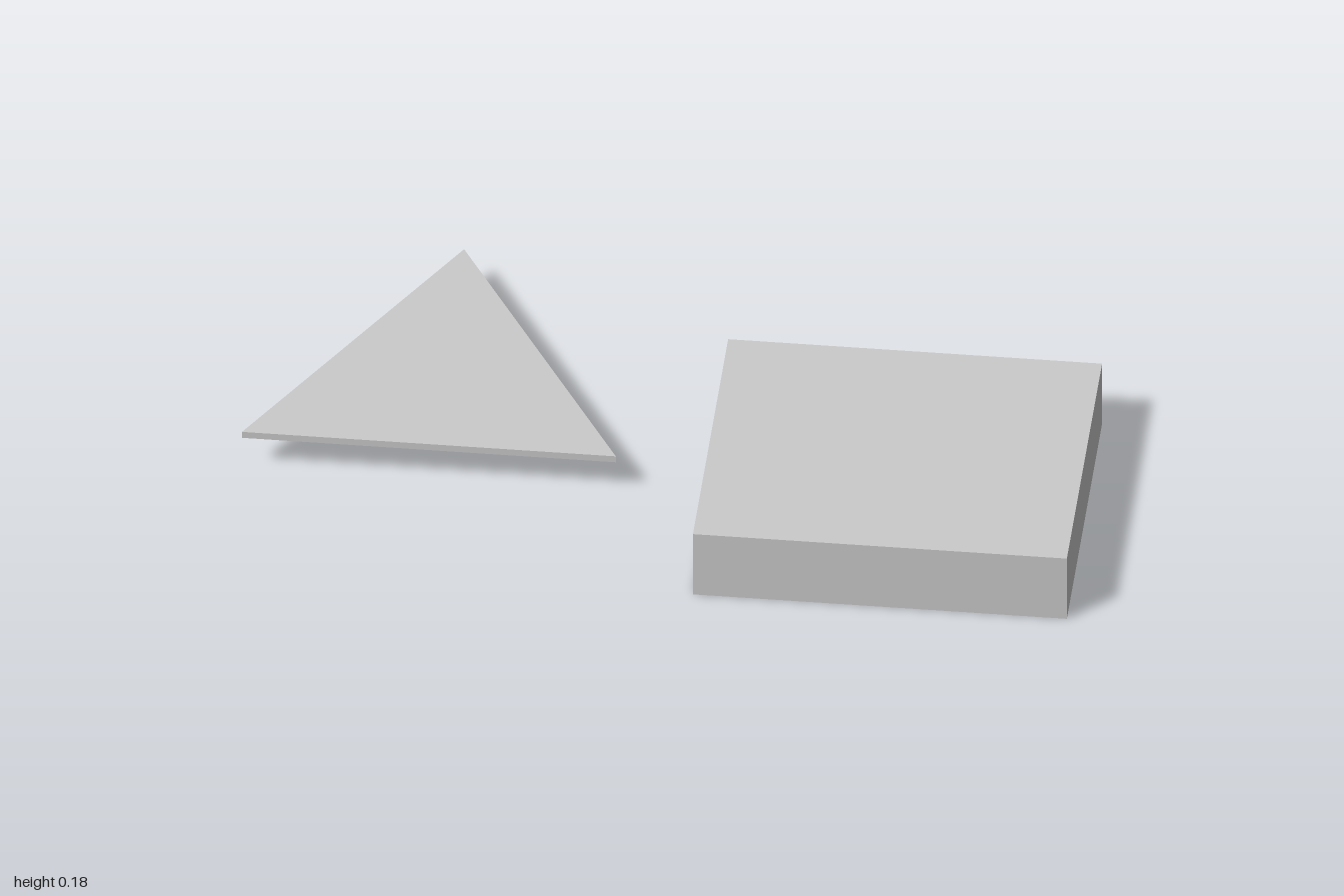
import * as THREE from 'three';

const material = new THREE.MeshStandardMaterial({ color: 0xcccccc });

// Plate lying flat: the outline is drawn in (x, z) and extruded downwards from the top height
function flatPlate(shape, top, thickness) {
  const geometry = new THREE.ExtrudeGeometry(shape, { depth: thickness, bevelEnabled: false, curveSegments: 48 });
  geometry.rotateX(Math.PI / 2).translate(0, top, 0);
  return new THREE.Mesh(geometry, material);
}

export function createModel() {
  const model = new THREE.Group();
  model.name = 'blockAndTrianglePlate';

  // Solid rectangular block
  const block = new THREE.Mesh(new THREE.BoxGeometry(0.888, 0.178, 0.769), material);
  block.name = 'block';
  block.position.set(0.556, 0.089, 0.1885);
  model.add(block);

  // Thin equilateral triangle with three round holes
  const outline = new THREE.Shape([
    new THREE.Vector2(-1, 0.196),
    new THREE.Vector2(-0.112, 0.196),
    new THREE.Vector2(-0.556, -0.573),
  ]);
  for (const [x, z] of [[-0.772, 0.063], [-0.425, 0.063], [-0.478, -0.18]]) {
    outline.holes.push(new THREE.Path().absarc(x, z, 0.1235, 0, Math.PI * 2, true));
  }
  const plate = flatPlate(outline, 0.107, 0.0175);
  plate.name = 'trianglePlate';
  model.add(plate);

  return model;
}
